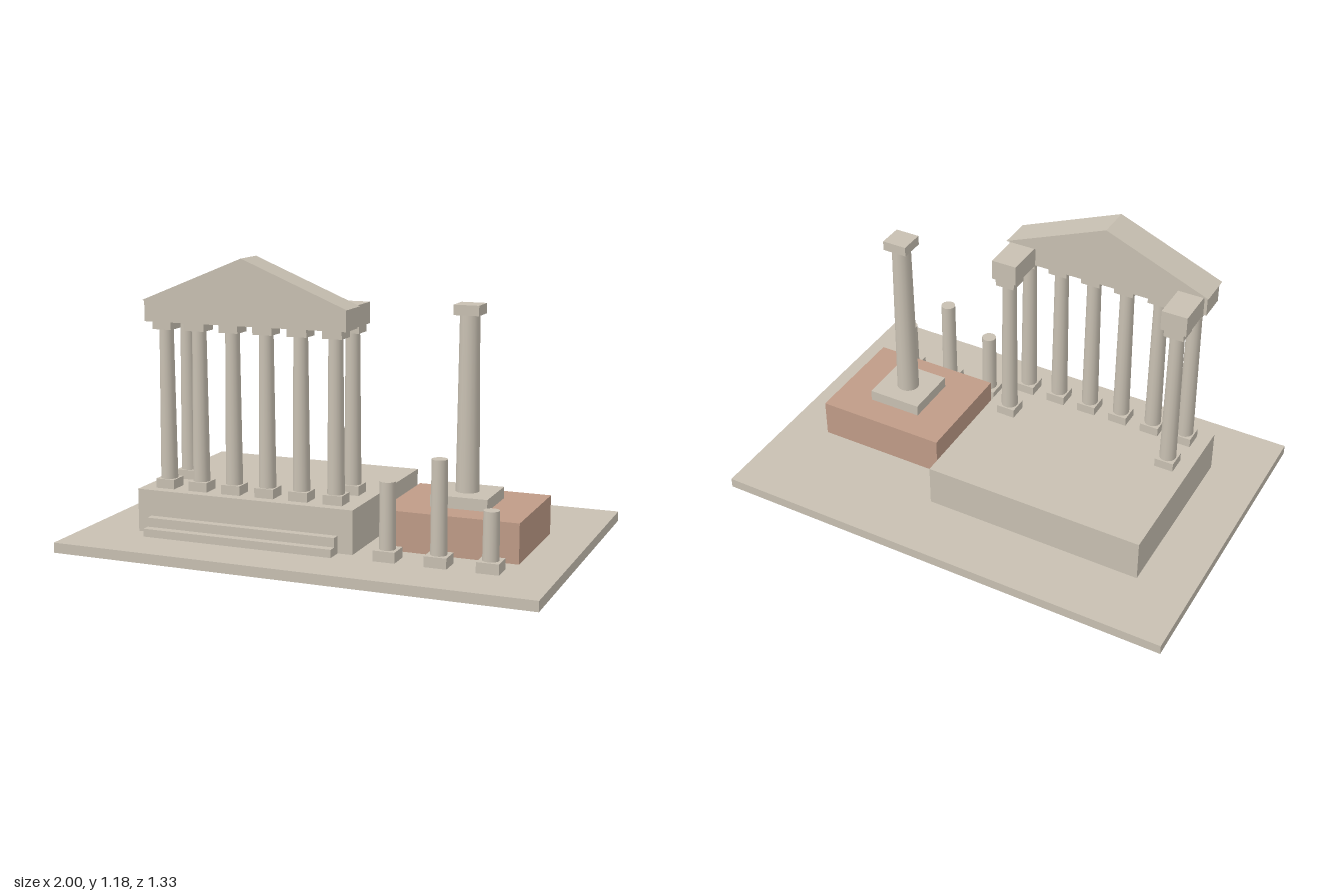
import * as THREE from 'three';

const stone = new THREE.MeshStandardMaterial({ color: 0xc8c0b2 });
stone.name = 'pale stone';
const brick = new THREE.MeshStandardMaterial({ color: 0xbf9b87 });
brick.name = 'reddish brick';

export function createModel() {
  const model = new THREE.Group();
  model.name = 'templeRuin';

  // Box given by its extents on each axis
  const box = (name, [x0, x1], [y0, y1], [z0, z1], material = stone, parent = model) => {
    const mesh = new THREE.Mesh(new THREE.BoxGeometry(x1 - x0, y1 - y0, z1 - z0), material);
    mesh.position.set((x0 + x1) / 2, (y0 + y1) / 2, (z0 + z1) / 2);
    mesh.name = name;
    parent.add(mesh);
  };
  // Square slab centred on a column axis
  const slab = (name, x, z, width, y0, y1, parent) =>
    box(name, [x - width / 2, x + width / 2], [y0, y1], [z - width / 2, z + width / 2], stone, parent);
  // Tapered round shaft
  const shaft = (x, z, rBottom, rTop, y0, y1, parent) => {
    const mesh = new THREE.Mesh(new THREE.CylinderGeometry(rTop, rBottom, y1 - y0, 16), stone);
    mesh.position.set(x, (y0 + y1) / 2, z);
    mesh.name = 'shaft';
    parent.add(mesh);
  };
  const group = (name) => {
    const g = new THREE.Group();
    g.name = name;
    model.add(g);
    return g;
  };

  // Ground, podium and front steps
  box('ground', [-1, 1], [0, 0.042], [-0.667, 0.667]);
  box('podium', [-0.77, 0.178], [0.042, 0.221], [-0.383, 0.383]);
  box('lowerStep', [-0.71, 0.115], [0.042, 0.075], [0.38, 0.453]);
  box('upperStep', [-0.71, 0.115], [0.075, 0.113], [0.38, 0.418]);

  // Temple columns: a front row of six and one return column at each end
  const centre = -0.297, spacing = 0.1485;
  const templeColumn = (name, x, z) => {
    const g = group(name);
    slab('base', x, z, 0.082, 0.221, 0.26, g);
    shaft(x, z, 0.035, 0.029, 0.26, 0.88, g);
    slab('capital', x, z, 0.083, 0.88, 0.913, g);
  };
  for (let i = 0; i < 6; i++) templeColumn('frontColumn', centre + (i - 2.5) * spacing, 0.298);
  for (const side of [-1, 1]) {
    const x = centre + side * 2.5 * spacing;
    templeColumn('sideColumn', x, 0.119);
    box('sideArchitrave', [x - 0.054, x + 0.054], [0.913, 0.999], [0.07, 0.239]);
  }

  // Entablature and triangular pediment
  box('entablature', [centre - 0.438, centre + 0.438], [0.913, 0.999], [0.239, 0.358]);
  const gable = new THREE.Shape([
    new THREE.Vector2(-0.445, 0), new THREE.Vector2(0.445, 0), new THREE.Vector2(0, 0.182),
  ]);
  const pediment = new THREE.Mesh(
    new THREE.ExtrudeGeometry(gable, { depth: 0.14, bevelEnabled: false }), stone);
  pediment.position.set(centre, 0.999, 0.228);
  pediment.name = 'pediment';
  model.add(pediment);

  // Brick platform with the single tall column
  box('brickPlatform', [0.25, 0.815], [0.042, 0.204], [-0.208, 0.266], brick);
  const tall = group('tallColumn');
  slab('plinth', 0.533, 0.03, 0.235, 0.204, 0.252, tall);
  shaft(0.533, 0.03, 0.048, 0.04, 0.252, 0.963, tall);
  slab('capital', 0.533, 0.03, 0.105, 0.963, 1.004, tall);

  // Broken column stumps of differing heights
  for (const [x, top] of [[0.325, 0.353], [0.533, 0.457], [0.739, 0.278]]) {
    const g = group('stump');
    slab('base', x, 0.387, 0.09, 0.042, 0.085, g);
    shaft(x, 0.387, 0.033, 0.031, 0.085, top, g);
  }
  return model;
}
